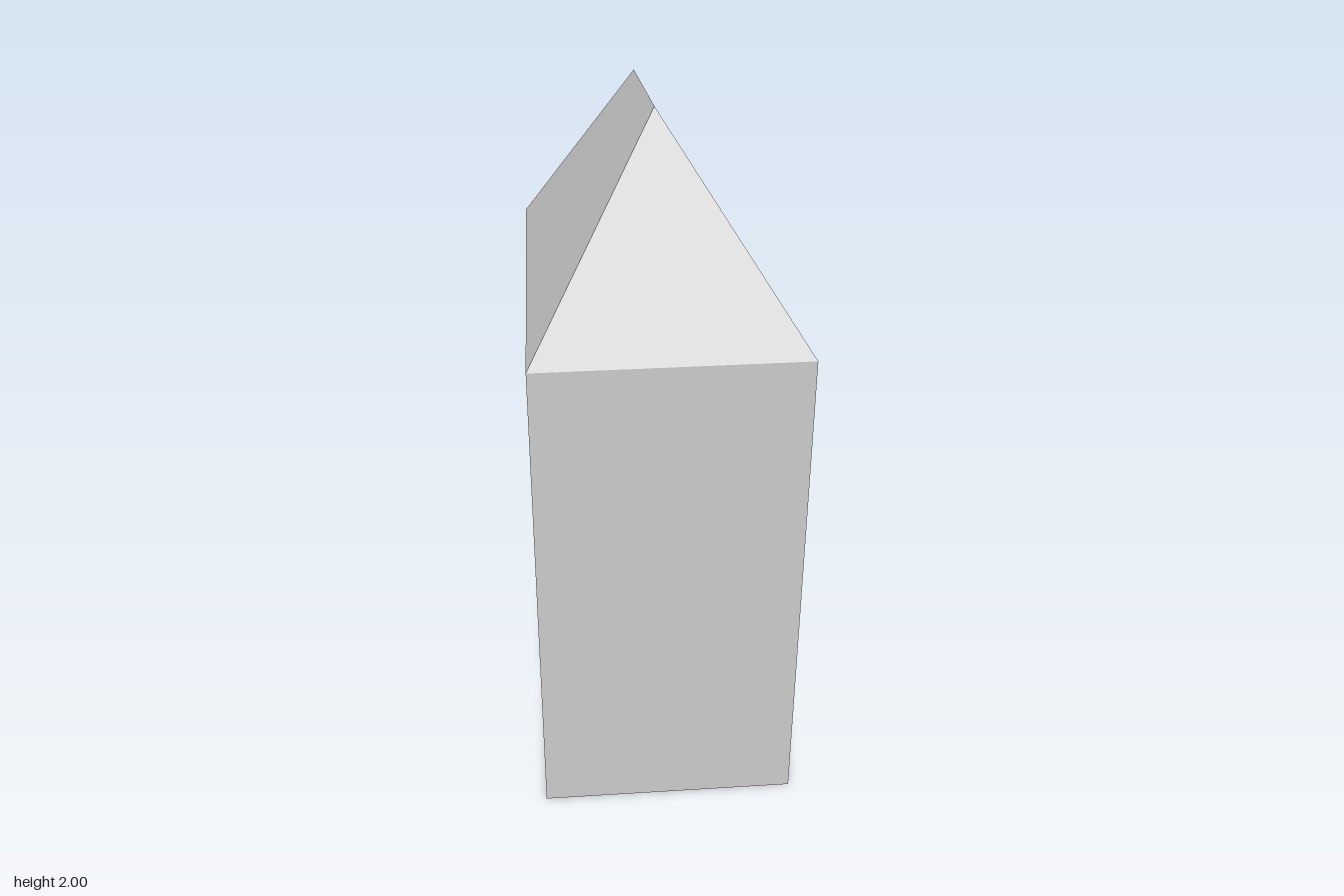
import * as THREE from 'three';

const EAVE = 1.45, TOP = 2;

// Irregular four-cornered footprint, [x, z], anticlockwise seen from above
const footprint = [[-0.56, -0.22], [0, 0.52], [0.56, 0.08], [-0.14, -0.52]];
const at = ([x, z], y) => [x, y, z];

const material = new THREE.MeshStandardMaterial({
  color: 0xcccccc, flatShading: true, side: THREE.DoubleSide,
});

// Flat-shaded mesh from convex faces, each fanned into triangles
function facets(name, faces) {
  const positions = [];
  for (const face of faces) {
    for (let i = 1; i < face.length - 1; i++) {
      positions.push(...face[0], ...face[i], ...face[i + 1]);
    }
  }
  const geometry = new THREE.BufferGeometry();
  geometry.setAttribute('position', new THREE.Float32BufferAttribute(positions, 3));
  geometry.computeVertexNormals();
  const mesh = new THREE.Mesh(geometry, material);
  mesh.name = name;
  return mesh;
}

export function createModel() {
  const group = new THREE.Group();
  group.name = 'crystal';

  const base = footprint.map((p) => at(p, 0));
  const eave = footprint.map((p) => at(p, EAVE));
  const [left, front, right, back] = eave;
  const ridgeBack = [-0.1, TOP, -0.1];
  const ridgeFront = [0.08, TOP, 0.08];

  // Three complete upright sides
  const sides = [1, 2, 3].map((i) => {
    const j = (i + 1) % 4;
    return [base[i], base[j], eave[j], eave[i]];
  });
  group.add(facets('sides', sides));

  // Open side: its lower half, and a fin folded inwards to the back corner
  group.add(facets('openSide', [[base[0], base[1], left]]));
  group.add(facets('innerFin', [[base[1], front, back]]));

  group.add(facets('floor', [[...base].reverse()]));

  // Faceted point with a short slanting ridge
  group.add(facets('tip', [
    [left, front, ridgeFront],
    [left, ridgeFront, ridgeBack],
    [front, right, ridgeFront],
    [right, back, ridgeFront],
    [back, ridgeBack, ridgeFront],
    [back, left, ridgeBack],
  ]));

  return group;
}
